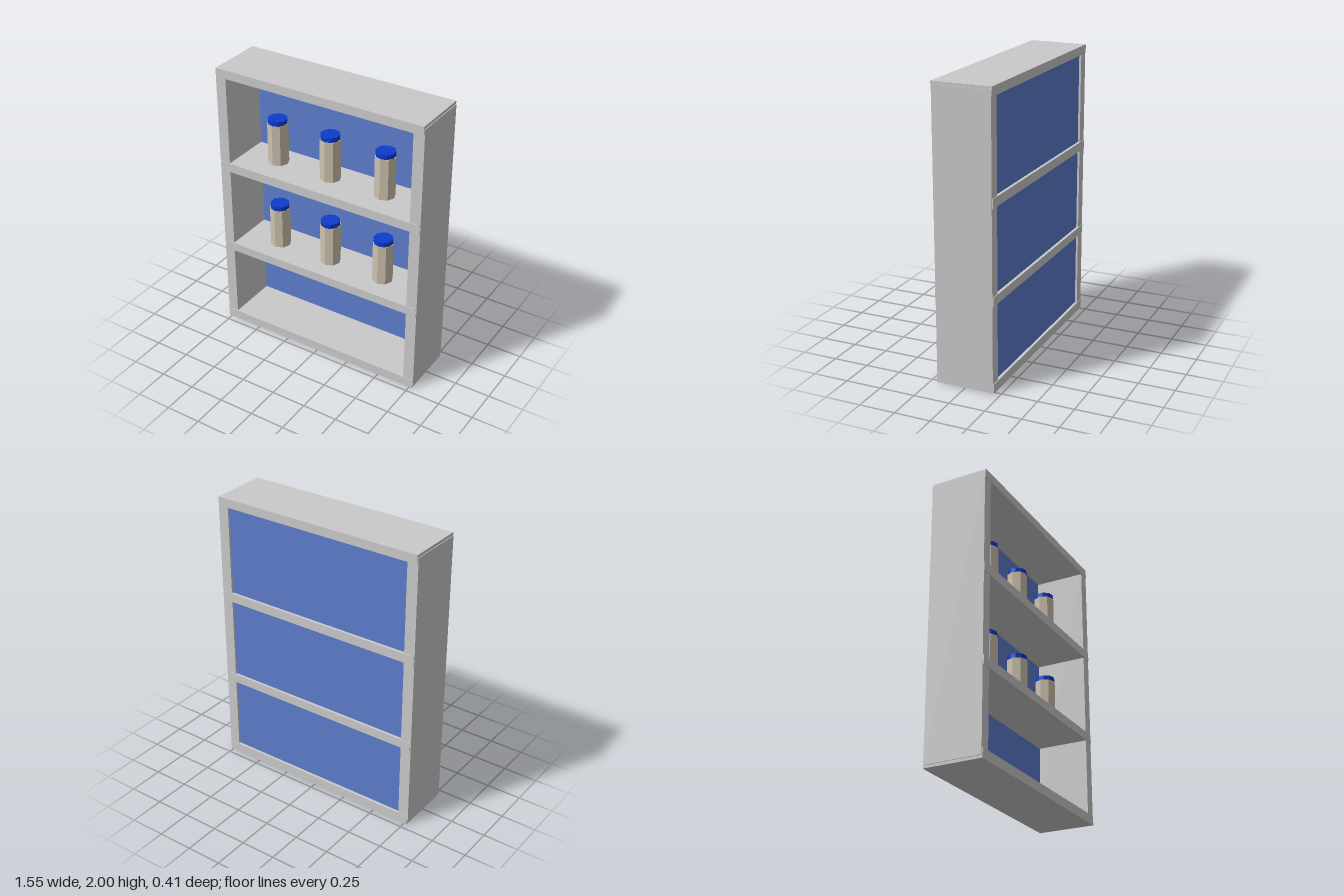
import * as THREE from 'three';

const mat = (name, color) => {
  const m = new THREE.MeshStandardMaterial({ color });
  m.name = name;
  return m;
};

export function createModel() {
  const grey = mat('grey cabinet', 0xc9c9c9);
  const panelBlue = mat('blue back panel', 0x5c7ccc);
  const capBlue = mat('deep blue cap', 0x0c3ccc);
  const beige = mat('beige jar', 0xcdc2ae);
  for (const m of [beige, capBlue]) m.flatShading = true;

  const group = new THREE.Group();
  group.name = 'shelfCabinet';
  const add = (parent, name, geometry, material, x, y, z) => {
    const mesh = new THREE.Mesh(geometry, material);
    mesh.name = name;
    mesh.position.set(x, y, z);
    parent.add(mesh);
  };

  // Side walls, slightly wider but shallower than the boards
  for (const s of [-1, 1]) {
    add(group, s > 0 ? 'leftWall' : 'rightWall',
      new THREE.BoxGeometry(0.077, 1.96, 0.4), grey, s * 0.7365, 1, 0);
  }

  // Base, two shelves and top
  const boards = [['base', 0, 0.065], ['lowerShelf', 0.6, 0.662],
    ['upperShelf', 1.243, 1.307], ['top', 1.938, 2]];
  for (const [name, y0, y1] of boards) {
    add(group, name, new THREE.BoxGeometry(1.54, y1 - y0, 0.41), grey, 0, (y0 + y1) / 2, 0);
  }

  // Back panel, set in a little from the rear edge
  add(group, 'backPanel', new THREE.BoxGeometry(1.41, 1.9, 0.02), panelBlue, 0, 1, -0.175);

  // Eight-sided jars with caps, three on each shelf
  const bodyGeo = new THREE.CylinderGeometry(0.072, 0.072, 0.295, 8);
  const capGeo = new THREE.CylinderGeometry(0.067, 0.067, 0.034, 10);
  for (const y of [0.67, 1.327]) {
    for (const x of [-0.415, 0, 0.415]) {
      const jar = new THREE.Group();
      jar.name = 'jar';
      jar.position.set(x, y, 0.025);
      add(jar, 'jarBody', bodyGeo, beige, 0, 0.1475, 0);
      add(jar, 'jarCap', capGeo, capBlue, 0, 0.311, 0);
      group.add(jar);
    }
  }
  return group;
}
